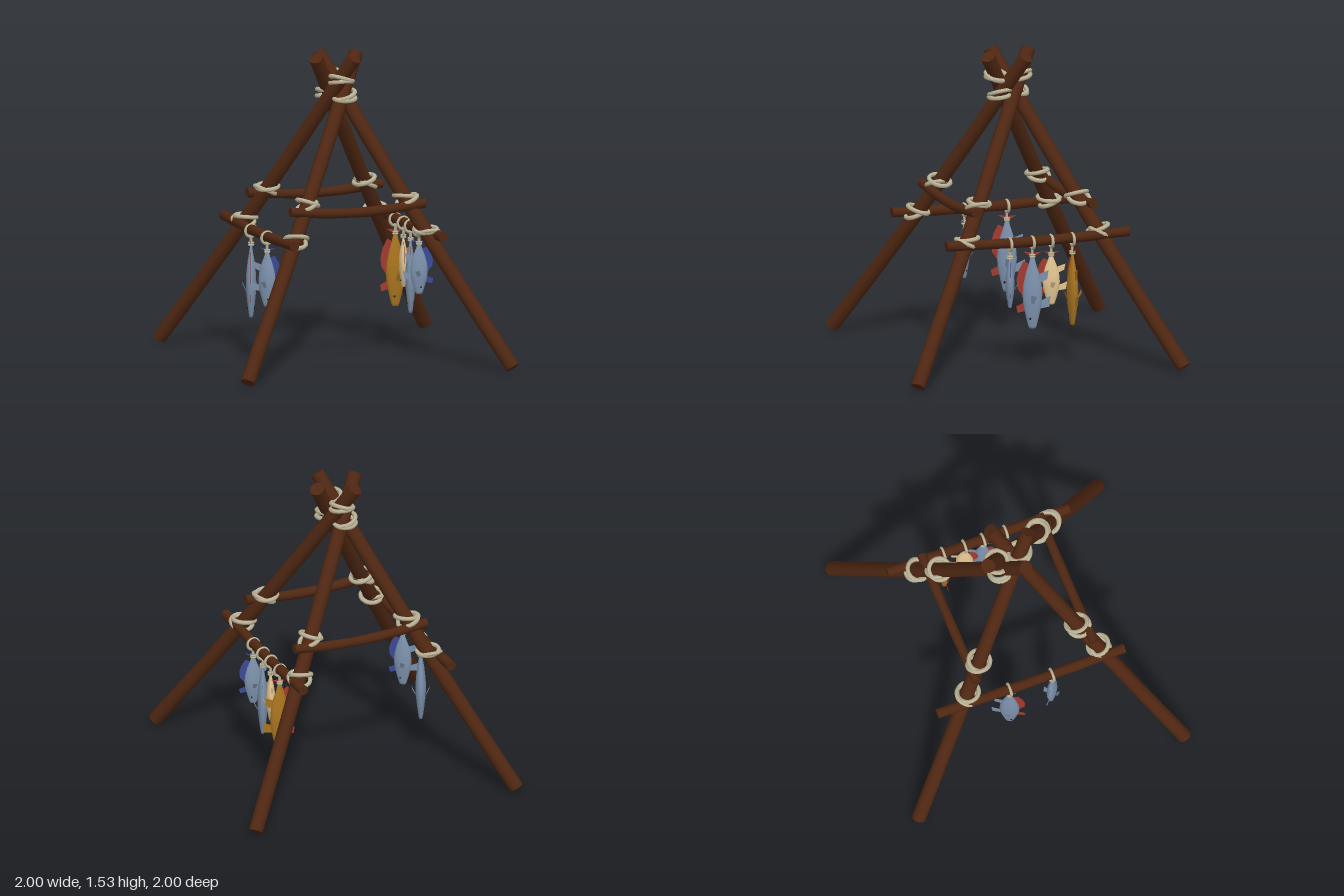
import * as THREE from 'three';

const V = (x, y, z) => new THREE.Vector3(x, y, z);
const UP = V(0, 1, 0);
const mat = (color, extra = {}) => new THREE.MeshStandardMaterial({ color, ...extra });
const thin = { side: THREE.DoubleSide };
const wood = mat(0x4f2712);
const rope = mat(0xbcb498);
const dark = mat(0x1a1c22);
const COLORS = { blue: 0x7d92ad, ochre: 0xa9751f, cream: 0xe3c592, red: 0xa33a30, navy: 0x3c4a9a };

function add(parent, name, geometry, material) {
  const mesh = new THREE.Mesh(geometry, material);
  mesh.name = name;
  parent.add(mesh);
  return mesh;
}

// Round pole from a to b that sags in the middle, with a slightly uneven radius
function pole(parent, name, a, b, r, sag, wobble) {
  const d = b.clone().sub(a), len = d.length();
  const g = new THREE.CylinderGeometry(r, r, len, 12, 12);
  const p = g.attributes.position;
  for (let i = 0; i < p.count; i++) {
    const t = p.getY(i) / len + 0.5;
    const k = 1 + wobble * Math.sin(t * 19);
    p.setXYZ(i, p.getX(i) * k, p.getY(i), p.getZ(i) * k);
  }
  g.applyQuaternion(new THREE.Quaternion().setFromUnitVectors(UP, d.clone().normalize()));
  for (let i = 0; i < p.count; i++) {
    const t = V(p.getX(i), p.getY(i), p.getZ(i)).dot(d) / (len * len) + 0.5;
    p.setY(i, p.getY(i) - sag * Math.sin(Math.PI * Math.min(1, Math.max(0, t))));
  }
  const mid = a.clone().add(b).multiplyScalar(0.5);
  g.translate(mid.x, mid.y, mid.z);
  add(parent, name, g, wood);
}

// One loop of rope whose plane faces along normal
function ring(parent, center, normal, r, tube = 0.011) {
  const m = add(parent, 'ropeLoop', new THREE.TorusGeometry(r, tube, 6, 20), rope);
  m.position.copy(center);
  m.quaternion.setFromUnitVectors(V(0, 0, 1), normal.clone().normalize());
}

// Two near-level loops tying a leg and a bar together
function lashing(parent, center, legDir, barDir) {
  const g = new THREE.Group();
  g.name = 'lashing';
  parent.add(g);
  const l = legDir.clone().normalize(), b = barDir.clone().normalize();
  ring(g, center, UP.clone().addScaledVector(b, 0.45), 0.054);
  ring(g, center.clone().addScaledVector(l, 0.022), UP.clone().addScaledVector(l, 0.4).addScaledVector(b, -0.3), 0.054);
}

function fin(parent, name, pts, material) {
  return add(parent, name, new THREE.ShapeGeometry(new THREE.Shape(pts.map(([x, y]) => new THREE.Vector2(x, y)))), material);
}

// Fish of unit length hanging head down from y = 0, with its back towards +x
function makeFish(size, bodyColor, finColor) {
  const fish = new THREE.Group();
  fish.name = 'fish';
  const skin = mat(bodyColor), skinFin = mat(bodyColor, thin), bright = mat(finColor, thin);
  const profile = [[0, -1], [0.05, -0.995], [0.065, -0.96], [0.1, -0.84], [0.137, -0.68], [0.15, -0.54],
    [0.138, -0.4], [0.1, -0.24], [0.05, -0.1], [0.028, -0.02], [0, 0]];
  const body = new THREE.LatheGeometry(profile.map(([x, y]) => new THREE.Vector2(x, y)), 14);
  body.scale(1, 1, 0.52);
  body.computeVertexNormals();
  add(fish, 'fishBody', body, skin);

  fin(fish, 'tailFin', [[0, -0.06], [0.05, 0], [0.14, 0.055], [0.03, 0.04], [-0.03, 0.04], [-0.14, 0.055], [-0.05, 0]], bright);
  fin(fish, 'dorsalFin', [[0.04, -0.12], [0.13, -0.08], [0.2, -0.2], [0.235, -0.34], [0.22, -0.46], [0.14, -0.56], [0.1, -0.4]], bright);
  fin(fish, 'rearBackFin', [[0.11, -0.64], [0.24, -0.7], [0.22, -0.79], [0.1, -0.76]], bright);
  fin(fish, 'bellyFin', [[-0.12, -0.62], [-0.27, -0.55], [-0.25, -0.7], [-0.1, -0.73]], skinFin);
  fin(fish, 'ventFin', [[-0.08, -0.26], [-0.24, -0.2], [-0.22, -0.32], [-0.11, -0.38]], skinFin);
  for (const s of [1, -1]) {
    const side = fin(fish, 'sideFin', [[0, 0], [-0.04, 0.13], [0.04, 0.15], [0.05, 0.03]], skinFin);
    side.position.set(-0.03, -0.66, s * 0.07);
    side.rotation.x = s * 0.45;
    const eye = add(fish, 'eye', new THREE.SphereGeometry(0.016, 8, 6), dark);
    eye.position.set(0.03, -0.86, s * 0.047);
  }
  // Short fish are plumper
  const girth = 0.2 + 0.36 * size;
  fish.scale.set(girth, size, girth);
  return fish;
}

// Fish hung from the bar a-b; each entry is [x, length, body, fins, backX, backZ]
function hangFish(parent, [a, b], list) {
  const dir = b.clone().sub(a);
  for (const [x, size, body, fins, bx, bz] of list) {
    const at = a.clone().addScaledVector(dir, (x - a.x) / dir.x);
    const g = new THREE.Group();
    g.name = 'hangingFish';
    g.position.set(at.x, 0, at.z);
    parent.add(g);
    for (const s of [0.15, -0.25]) {
      ring(g, V(0, 0.632, 0), dir.clone().normalize().add(V(s, 0, s)), 0.03, 0.007);
    }
    const cord = add(g, 'cord', new THREE.CylinderGeometry(0.007, 0.007, 0.05, 6), rope);
    cord.position.y = 0.588;
    for (const y of [0.562, 0.572]) ring(g, V(0, y, 0), UP, 0.011, 0.005);
    const fish = makeFish(size, COLORS[body], COLORS[fins]);
    fish.position.y = 0.568;
    fish.rotation.y = Math.atan2(-bz, bx);
    g.add(fish);
  }
}

export function createModel() {
  const model = new THREE.Group();
  model.name = 'fishDryingRack';

  // Four leaning legs, each a quarter turn from the last
  const foot = V(-0.97, 0.022, 0.042), top = V(0.125, 1.505, 0.042);
  for (let i = 0; i < 4; i++) {
    const turn = (v) => v.clone().applyAxisAngle(UP, i * Math.PI / 2);
    pole(model, 'leg', turn(foot), turn(top), 0.036, 0.025, 0.015);
  }
  const leftDir = top.clone().sub(foot);
  const frontDir = V(0, leftDir.y, -leftDir.x), backDir = V(0, leftDir.y, leftDir.x);

  // Low bars that carry the fish
  const frontLow = [V(-0.65, 0.65, -0.035), V(0.1, 0.65, 0.6)];
  const backLow = [V(0.605, 0.65, 0.005), V(-0.125, 0.65, -0.61)];
  for (const [a, b] of [frontLow, backLow]) pole(model, 'lowBar', a, b, 0.025, 0.012, 0.05);

  // High bars and lashings repeat under a half turn
  const highA = V(-0.455, 0.795, 0.08), highB = V(-0.01, 0.795, -0.48);
  const lowDir = frontLow[1].clone().sub(frontLow[0]), highDir = highB.clone().sub(highA);
  for (let i = 0; i < 2; i++) {
    const half = new THREE.Group();
    half.name = i ? 'backRightTies' : 'frontLeftTies';
    half.rotation.y = i * Math.PI;
    model.add(half);
    pole(half, 'highBar', highA, highB, 0.024, 0.025, 0.05);
    lashing(half, V(-0.495, 0.65, 0.045), leftDir, lowDir);
    lashing(half, V(0.045, 0.65, 0.495), frontDir, lowDir);
    lashing(half, V(-0.375, 0.81, 0.042), leftDir, highDir);
    lashing(half, V(-0.042, 0.81, -0.375), backDir, highDir);

    // Loops binding the leg tops
    for (const s of [0.1, -0.15]) ring(half, V(0.05, 1.39 + s * 0.06, 0.035), V(s, 1, -0.25 - s), 0.056);
    for (const s of [0.15, -0.1]) ring(half, V(0.055, 1.305 + s * 0.06, 0.015), V(-s, 1, 0.2 + s), 0.055);
  }

  // Two fish at the front left, four at the back right
  hangFish(model, frontLow, [
    [-0.36, 0.368, 'blue', 'red', 0.42, 0.9],
    [-0.19, 0.28, 'blue', 'navy', 0.98, -0.17],
  ]);
  hangFish(model, backLow, [
    [0.1, 0.368, 'ochre', 'red', -0.65, 0.75],
    [0.185, 0.255, 'cream', 'red', 0.55, 0.83],
    [0.26, 0.368, 'blue', 'red', 0.45, 0.89],
    [0.35, 0.255, 'blue', 'navy', 0.85, -0.53],
  ]);
  return model;
}
